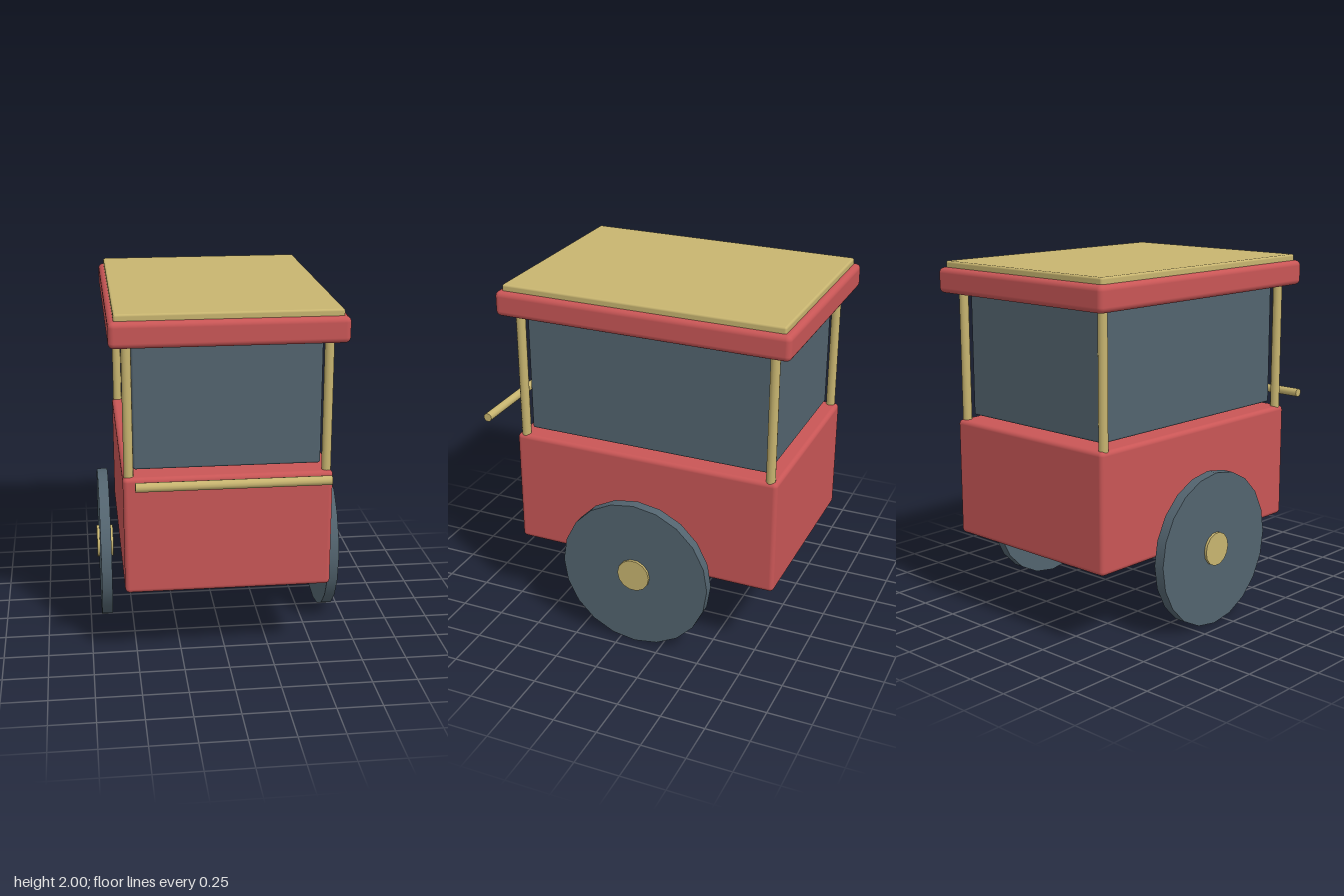
import * as THREE from 'three';
import { RoundedBoxGeometry } from 'three/addons/geometries/RoundedBoxGeometry.js';

const material = (name, color) => {
  const m = new THREE.MeshStandardMaterial({ color });
  m.name = name;
  return m;
};

export function createModel() {
  const red = material('red', 0xc95656);
  const gold = material('gold', 0xc8b570);
  const slate = material('slate', 0x53646f);

  const cart = new THREE.Group();
  cart.name = 'cart';
  const midZ = -0.09;

  const add = (name, geometry, mat, x, y, z) => {
    const mesh = new THREE.Mesh(geometry, mat);
    mesh.name = name;
    mesh.position.set(x, y, z);
    cart.add(mesh);
    return mesh;
  };

  // Rounded box spanning y0 to y1, centred on the cart
  const block = (name, mat, width, y0, y1, depth, radius) =>
    add(name, new RoundedBoxGeometry(width, y1 - y0, depth, 3, radius), mat, 0, (y0 + y1) / 2, midZ);

  // Cylinder lying along x
  const disc = (name, mat, radius, length, sides, x, y, z) => {
    const geometry = new THREE.CylinderGeometry(radius, radius, length, sides).rotateZ(Math.PI / 2);
    return add(name, geometry, mat, x, y, z);
  };

  // Body, cabin and roof
  block('body', red, 1.13, 0.445, 1.11, 1.545, 0.025);
  block('cabinPanel', slate, 1.01, 1.135, 1.825, 1.405, 0.012);
  block('canopy', red, 1.25, 1.825, 1.965, 1.665, 0.03);
  block('roofPanel', gold, 1.19, 1.955, 2, 1.595, 0.012);

  // Push bar in front of the body
  disc('pushBar', gold, 0.025, 1.02, 12, 0, 1.143, 0.905);

  for (const side of [-1, 1]) {
    // Corner posts
    for (const end of [-1, 1]) {
      add('post', new THREE.CylinderGeometry(0.026, 0.026, 0.75, 12), gold,
        side * 0.532, 1.465, midZ + end * 0.727);
    }
    // Wheels with hubs
    disc('wheel', slate, 0.437, 0.06, 20, side * 0.655, 0.437, midZ);
    disc('hub', gold, 0.095, 0.095, 14, side * 0.652, 0.44, midZ);
  }

  return cart;
}
